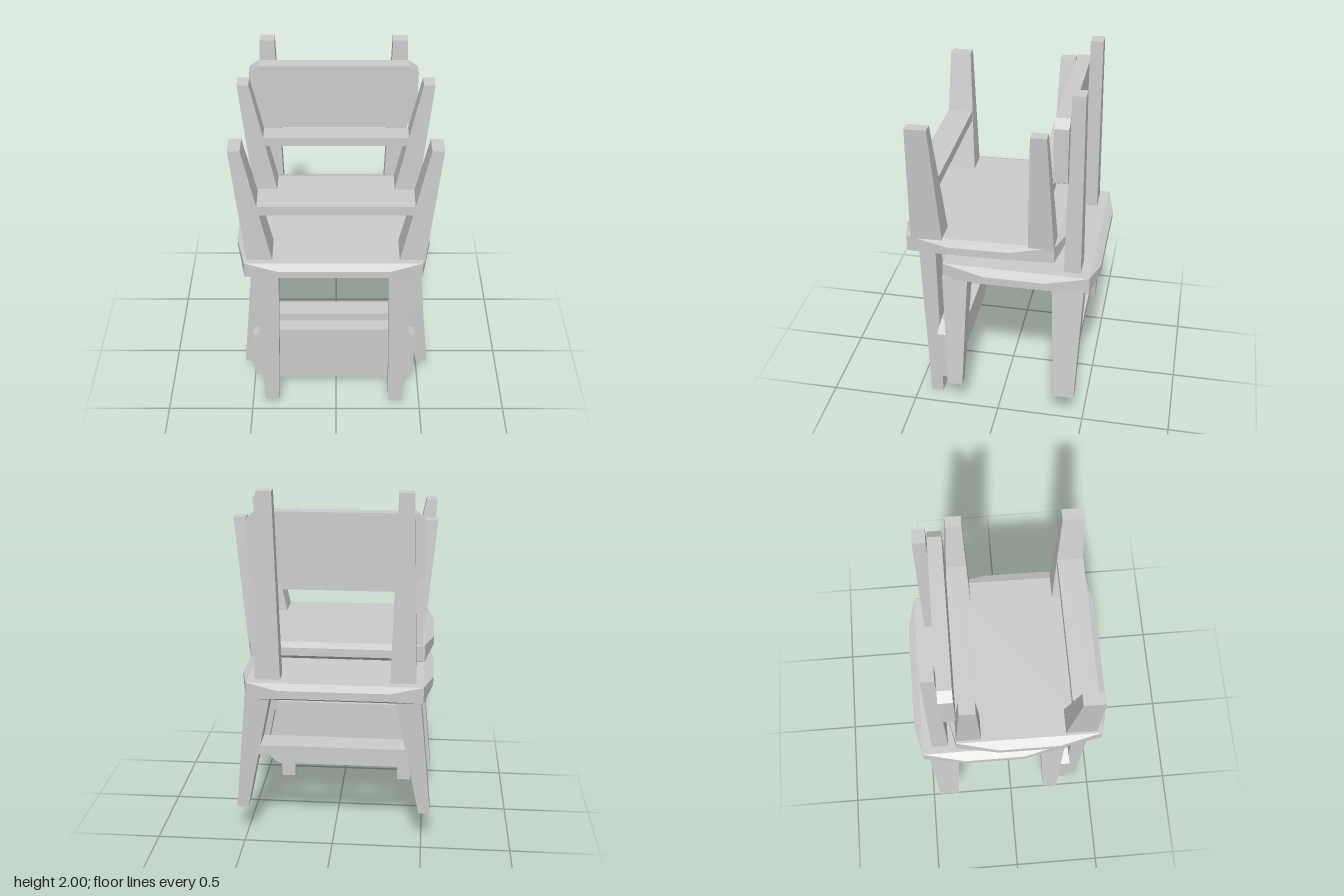
import * as THREE from 'three';
import { ConvexGeometry } from 'three/addons/geometries/ConvexGeometry.js';

const material = new THREE.MeshStandardMaterial({ color: 0xcccccc, flatShading: true });
const SHIFT = -0.013; // seat and back sit slightly off the leg centreline

function add(parent, name, geometry) {
  const mesh = new THREE.Mesh(geometry, material);
  mesh.name = name;
  parent.add(mesh);
  return mesh;
}

// Tapered bar between two rectangles [x0, x1, z0, z1] at heights y0 and y1
function taperedBar(y0, low, y1, high) {
  const geometry = new THREE.BoxGeometry(1, 1, 1);
  const p = geometry.attributes.position;
  for (let i = 0; i < p.count; i++) {
    const r = p.getY(i) > 0 ? high : low;
    p.setXYZ(i, p.getX(i) > 0 ? r[1] : r[0], p.getY(i) > 0 ? y1 : y0, p.getZ(i) > 0 ? r[3] : r[2]);
  }
  geometry.computeVertexNormals();
  return geometry;
}

const flipX = ([x0, x1, z0, z1]) => [-x1, -x0, z0, z1];

function mirroredBars(parent, name, y0, low, y1, high) {
  add(parent, name + 'Left', taperedBar(y0, low, y1, high));
  add(parent, name + 'Right', taperedBar(y0, flipX(low), y1, flipX(high)));
}

// Slab with thick corners and thinner bowed-out edges
function seatGeometry() {
  const points = [];
  const put = (x, z, lo, hi) => {
    for (const sx of [-1, 1]) for (const sz of [-1, 1]) for (const y of [lo, hi])
      points.push(new THREE.Vector3(sx * x, y, sz * z));
  };
  put(0.482, 0.408, 0.872, 0.967);
  put(0.533, 0.17, 0.895, 0.94);
  put(0.305, 0.45, 0.895, 0.94);
  return new ConvexGeometry(points);
}

// Back panel with clipped corners
function backPanelGeometry() {
  const half = [[0.39, 1.487], [0.473, 1.535], [0.473, 1.842], [0.42, 1.88]];
  const outline = [...half, ...half.map(([x, y]) => [-x, y]).reverse()];
  const shape = new THREE.Shape(outline.map(([x, y]) => new THREE.Vector2(x, y)));
  return new THREE.ExtrudeGeometry(shape, { depth: 0.077, bevelEnabled: false });
}

function createChair(name) {
  const chair = new THREE.Group();
  chair.name = name;

  // Seat
  add(chair, 'seat', seatGeometry()).position.set(SHIFT, 0, -0.0975);

  // Splayed legs
  mirroredBars(chair, 'frontLeg', 0.188, [0.483, 0.547, 0.2, 0.285], 0.89, [0.34, 0.48, 0.17, 0.312]);
  mirroredBars(chair, 'rearLeg', 0.188, [0.483, 0.547, -0.45, -0.333], 0.89, [0.34, 0.48, -0.478, -0.302]);

  // Stretchers between the left and right legs
  for (const [label, z0, z1] of [['frontStretcher', 0.188, 0.295], ['rearStretcher', -0.464, -0.32]]) {
    const r = [-0.43, 0.43, z0, z1];
    add(chair, label, taperedBar(0.525, r, 0.58, r));
  }

  // Back posts and panel
  const back = new THREE.Group();
  back.name = 'back';
  back.position.x = SHIFT;
  mirroredBars(back, 'backPost', 0.95, [0.3, 0.441, -0.452, -0.358], 2, [0.329, 0.411, -0.442, -0.372]);
  add(back, 'backPanel', backPanelGeometry()).position.z = -0.37;
  chair.add(back);
  return chair;
}

export function createModel() {
  const model = new THREE.Group();
  model.name = 'stackedChairs';
  model.add(createChair('uprightChair'));

  // Second chair turned over on top of the first, leaning by one degree
  const tilt = 0.0175;
  const upturned = createChair('upturnedChair');
  upturned.rotation.x = Math.PI + tilt;
  upturned.position.set(0, 1 + Math.cos(tilt) + 0.008, Math.sin(tilt));
  model.add(upturned);
  return model;
}
